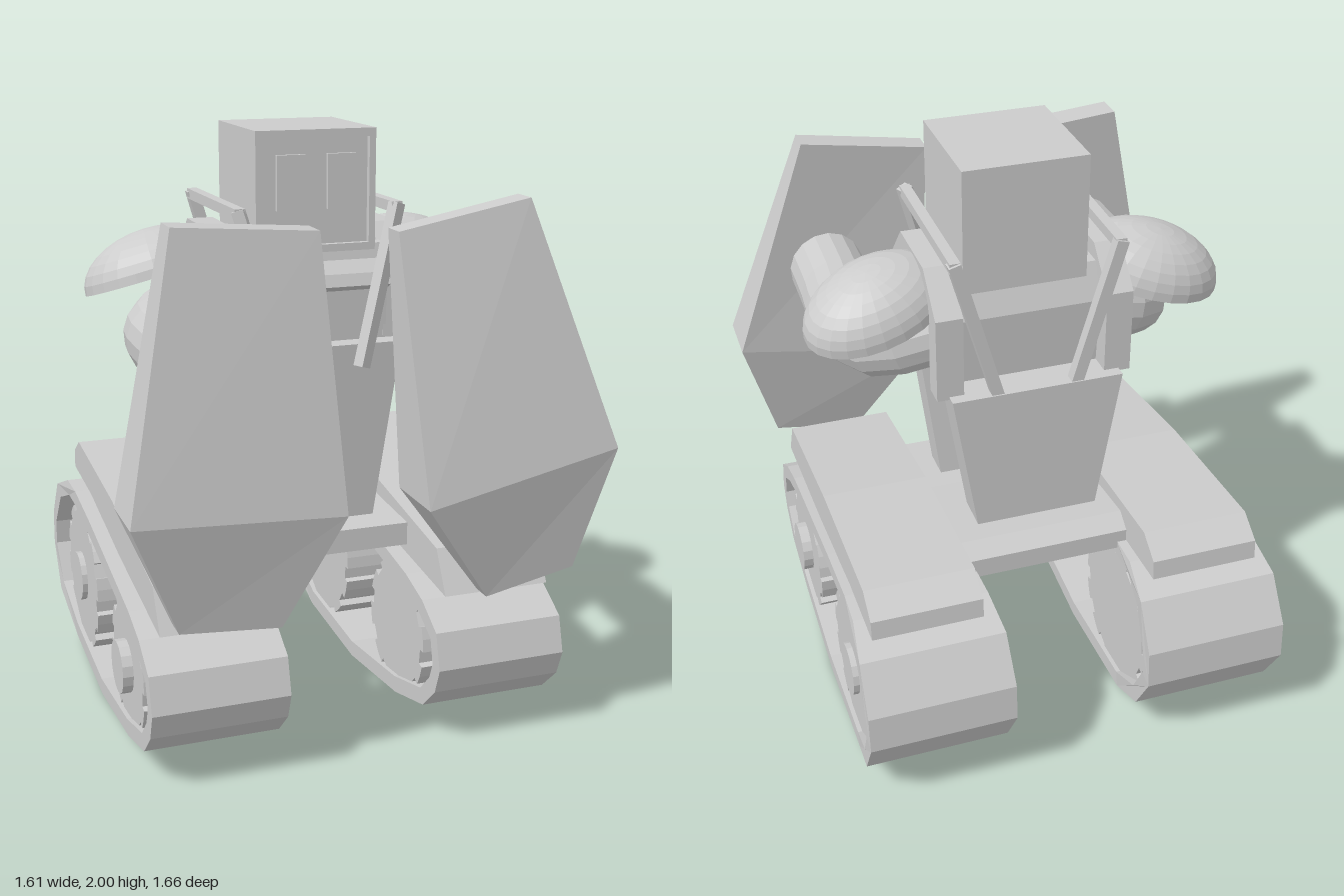
import * as THREE from 'three';

const grey = new THREE.MeshStandardMaterial({ color: 0xcccccc, flatShading: true });
const open = new THREE.MeshStandardMaterial({ color: 0xcccccc, flatShading: true, side: THREE.DoubleSide });
const CX = -0.02; // the body sits slightly off centre

export function createModel() {
  const root = new THREE.Group();

  const add = (name, geo, parent = root, mat = grey) => {
    const mesh = new THREE.Mesh(geo, mat);
    mesh.name = name;
    parent.add(mesh);
    return mesh;
  };

  const box = (name, x0, x1, y0, y1, z0, z1) =>
    add(name, new THREE.BoxGeometry(x1 - x0, y1 - y0, z1 - z0))
      .position.set((x0 + x1) / 2, (y0 + y1) / 2, (z0 + z1) / 2);

  // Side profile given as [z, y] points, extruded across x
  const sideShape = (pts) => new THREE.Shape(pts.map(([z, y]) => new THREE.Vector2(-z, y)));
  const extrudeX = (shape, width) =>
    new THREE.ExtrudeGeometry(shape, { depth: width, bevelEnabled: false })
      .translate(0, 0, -width / 2).rotateY(Math.PI / 2);

  // Stack of four-cornered sections, bottom to top, each running counterclockwise from above
  const loft = (rows) => {
    const pos = [];
    const quad = (a, b, c, d) => [a, b, c, a, c, d].forEach((p) => pos.push(...p));
    for (let r = 0; r + 1 < rows.length; r++) {
      for (let i = 0; i < 4; i++) {
        const j = (i + 1) % 4;
        quad(rows[r][i], rows[r][j], rows[r + 1][j], rows[r + 1][i]);
      }
    }
    quad(...rows[0].slice().reverse());
    quad(...rows[rows.length - 1]);
    const g = new THREE.BufferGeometry();
    g.setAttribute('position', new THREE.Float32BufferAttribute(pos, 3));
    g.computeVertexNormals();
    return g;
  };
  const section = (half, y, zBack, zFront) => [
    [CX - half, y, zFront], [CX + half, y, zFront], [CX + half, y, zBack], [CX - half, y, zBack]];

  // Square bar between two points
  const bar = (name, a, b, t) => {
    const p = new THREE.Vector3(...a), q = new THREE.Vector3(...b);
    const m = add(name, new THREE.BoxGeometry(t, t, p.distanceTo(q) + t * 0.6));
    m.position.copy(p).lerp(q, 0.5);
    m.lookAt(q);
  };

  // Tracks: a closed belt, two toothed wheels and a fender on each side
  const outline = [[0.714, 0.295], [0.68, 0.415], [0.56, 0.485], [0.42, 0.525], [0.19, 0.56],
    [-0.18, 0.615], [-0.445, 0.645], [-0.577, 0.648], [-0.72, 0.59], [-0.82, 0.44], [-0.83, 0.31],
    [-0.735, 0.15], [-0.525, 0.03], [-0.075, 0], [0.35, 0.05], [0.587, 0.115], [0.68, 0.205]];
  const inner = outline.map(([z, y], i) => {
    const n = outline.length, a = outline[(i + n - 1) % n], b = outline[(i + 1) % n];
    const dz = b[0] - a[0], dy = b[1] - a[1], k = 0.057 / Math.hypot(dz, dy);
    return [z - dy * k, y + dz * k];
  });
  const beltShape = sideShape(outline);
  beltShape.holes.push(sideShape(inner.reverse()));
  const belt = extrudeX(beltShape, 0.45);
  // The belt flares at the rear
  const bp = belt.attributes.position;
  for (let i = 0; i < bp.count; i++) {
    const f = THREE.MathUtils.clamp((-bp.getZ(i) - 0.55) / 0.2, 0, 1);
    bp.setX(i, bp.getX(i) * (1 + 0.1 * f));
  }
  const gearShape = (r, teeth) => {
    const pts = [];
    for (let i = 0; i < teeth; i++) {
      [[0, -0.025], [0, 0], [0.3, 0], [0.6, 0], [0.6, -0.025]].forEach(([f, d]) => {
        const a = ((i + f) / teeth) * Math.PI * 2;
        pts.push([Math.cos(a) * (r + d), Math.sin(a) * (r + d)]);
      });
    }
    return sideShape(pts);
  };
  const fender = extrudeX(sideShape([[0.635, 0.52], [0.555, 0.66], [-0.02, 0.745], [-0.603, 0.785],
    [-0.693, 0.727], [-0.7, 0.66], [-0.39, 0.645], [0, 0.585]]), 0.37);

  for (const [side, x, s] of [['right', -0.51, -1], ['left', 0.45, 1]]) {
    const g = new THREE.Group();
    g.name = side + 'Track';
    g.position.x = x;
    root.add(g);
    add('belt', belt, g);
    add('fender', fender, g).position.x = 0.01;
    // Hub caps show on the outer side only
    for (const [name, z, y, r, teeth, hub] of [['frontWheel', 0.31, 0.285, 0.235, 10, 0.245],
      ['rearWheel', -0.435, 0.315, 0.27, 12, 0.23]]) {
      add(name, extrudeX(gearShape(r, teeth), 0.42), g).position.set(0, y, z);
      add(name + 'Hub', new THREE.CylinderGeometry(0.09, 0.09, hub, 16).rotateZ(Math.PI / 2), g)
        .position.set((s * hub) / 2, y, z);
    }
  }

  // Chassis between the tracks
  add('chassis', extrudeX(sideShape([[0.31, 0.585], [0.31, 0.665], [0, 0.68], [-0.4, 0.73],
    [-0.46, 0.69], [-0.46, 0.62], [-0.3, 0.585]]), 0.62)).position.x = CX - 0.01;

  // Ribbed waist
  const ribs = [0.66, 0.83, 0.92, 1.03, 1.11, 1.27];
  for (let i = 0; i + 1 < ribs.length; i++) {
    const r = 0.152 + i * 0.004;
    add('waistRib', new THREE.CylinderGeometry(r + 0.014, r, ribs[i + 1] - ribs[i], 16))
      .position.set(CX, (ribs[i] + ribs[i + 1]) / 2, -0.08);
  }

  // Torso plates
  add('frontPlate', loft([section(0.21, 0.67, 0.08, 0.2), section(0.28, 1.3, 0.14, 0.265)]));
  add('backPack', loft([section(0.21, 0.77, -0.37, -0.24), section(0.29, 1.27, -0.37, -0.24)]));
  add('chest', extrudeX(sideShape([[0.19, 1.22], [0.2, 1.47], [0.235, 1.49], [0.22, 1.53],
    [0.18, 1.57], [0.17, 1.62], [-0.22, 1.62], [-0.27, 1.5], [-0.25, 1.22]]), 0.5)).position.x = CX;

  // Arched shoulder frames
  const arch = sideShape([[0.195, 1.29], [0.195, 1.545], [0.07, 1.675], [-0.2, 1.675], [-0.33, 1.55],
    [-0.33, 1.26], [-0.25, 1.26], [-0.25, 1.52], [-0.17, 1.6], [0.04, 1.6], [0.125, 1.52], [0.125, 1.29]]);

  for (const [side, s] of [['right', -1], ['left', 1]]) {
    const X = (v) => CX + s * v;
    add(side + 'ShoulderArch', extrudeX(arch, 0.09)).position.x = X(0.285);

    // Half-egg shoulder pad, closed underneath, tipped outward and back
    const pad = new THREE.Group();
    pad.name = side + 'ShoulderPad';
    add('dome', new THREE.SphereGeometry(1, 24, 8, 0, Math.PI * 2, 0, Math.PI / 2), pad);
    add('underside', new THREE.CircleGeometry(1, 24).rotateX(Math.PI / 2), pad);
    pad.scale.set(0.255, 0.16, 0.19);
    pad.position.set(X(0.46), 1.505, -0.11);
    pad.rotation.set(-0.13, s * 0.25, -s * 0.25);
    root.add(pad);

    // Bent arm
    const path = new THREE.CatmullRomCurve3([[0.2, 1.42, -0.09], [0.36, 1.38, -0.08], [0.465, 1.345, 0],
      [0.5, 1.34, 0.15], [0.49, 1.33, 0.35], [0.485, 1.325, 0.62]]
      .map(([x, y, z]) => new THREE.Vector3(X(x), y, z)));
    add(side + 'Arm', new THREE.TubeGeometry(path, 10, 0.132, 16), root, open);

    // Roll cage bars
    const rearTop = [X(0.27), 1.74, -0.345], frontTop = [X(0.27), 1.745, 0.22];
    bar(side + 'RearCageBar', [X(0.13), 1.25, -0.345], rearTop, 0.04);
    bar(side + 'TopCageBar', rearTop, frontTop, 0.035);
    bar(side + 'FrontCageBar', frontTop, [X(0.13), 1.24, 0.29], 0.04);
  }

  // Shield hands: each row holds [x, y, back z, front z] for the low-x and the high-x edge
  const shield = (name, rows) => add(name, loft(rows.map(([a, b]) => [
    [a[0], a[1], a[3]], [b[0], b[1], b[3]], [b[0], b[1], b[2]], [a[0], a[1], a[2]]])));
  shield('rightShield', [
    [[-0.65, 0.57, 0.66, 0.74], [-0.32, 0.54, 0.66, 0.73]],
    [[-0.805, 0.945, 0.6, 0.815], [-0.125, 0.9, 0.575, 0.785]],
    [[-0.627, 1.785, 0.55, 0.653], [-0.167, 1.75, 0.535, 0.64]]]);
  shield('leftShield', [
    [[0.37, 0.55, 0.67, 0.74], [0.685, 0.61, 0.65, 0.73]],
    [[0.125, 0.9, 0.585, 0.83], [0.8, 1.02, 0.57, 0.78]],
    [[0.08, 1.735, 0.565, 0.65], [0.53, 1.815, 0.54, 0.63]]]);

  // Head with a rimmed face and two eye panels
  const hx0 = -0.222, hx1 = 0.192;
  box('head', hx0, hx1, 1.58, 2, -0.24, 0.16);
  const rect = (T, x0, x1, y0, y1) => new T([[x0, y0], [x1, y0], [x1, y1], [x0, y1]]
    .map((p) => new THREE.Vector2(...p)));
  const rim = rect(THREE.Shape, hx0, hx1, 1.6, 2);
  rim.holes.push(rect(THREE.Path, hx0 + 0.022, hx1 - 0.022, 1.625, 1.972));
  add('faceRim', new THREE.ExtrudeGeometry(rim, { depth: 0.022, bevelEnabled: false })).position.z = 0.159;
  box('rightEye', -0.148, -0.048, 1.74, 1.92, 0.15, 0.175);
  box('leftEye', 0.027, 0.127, 1.74, 1.92, 0.15, 0.175);

  return root;
}
